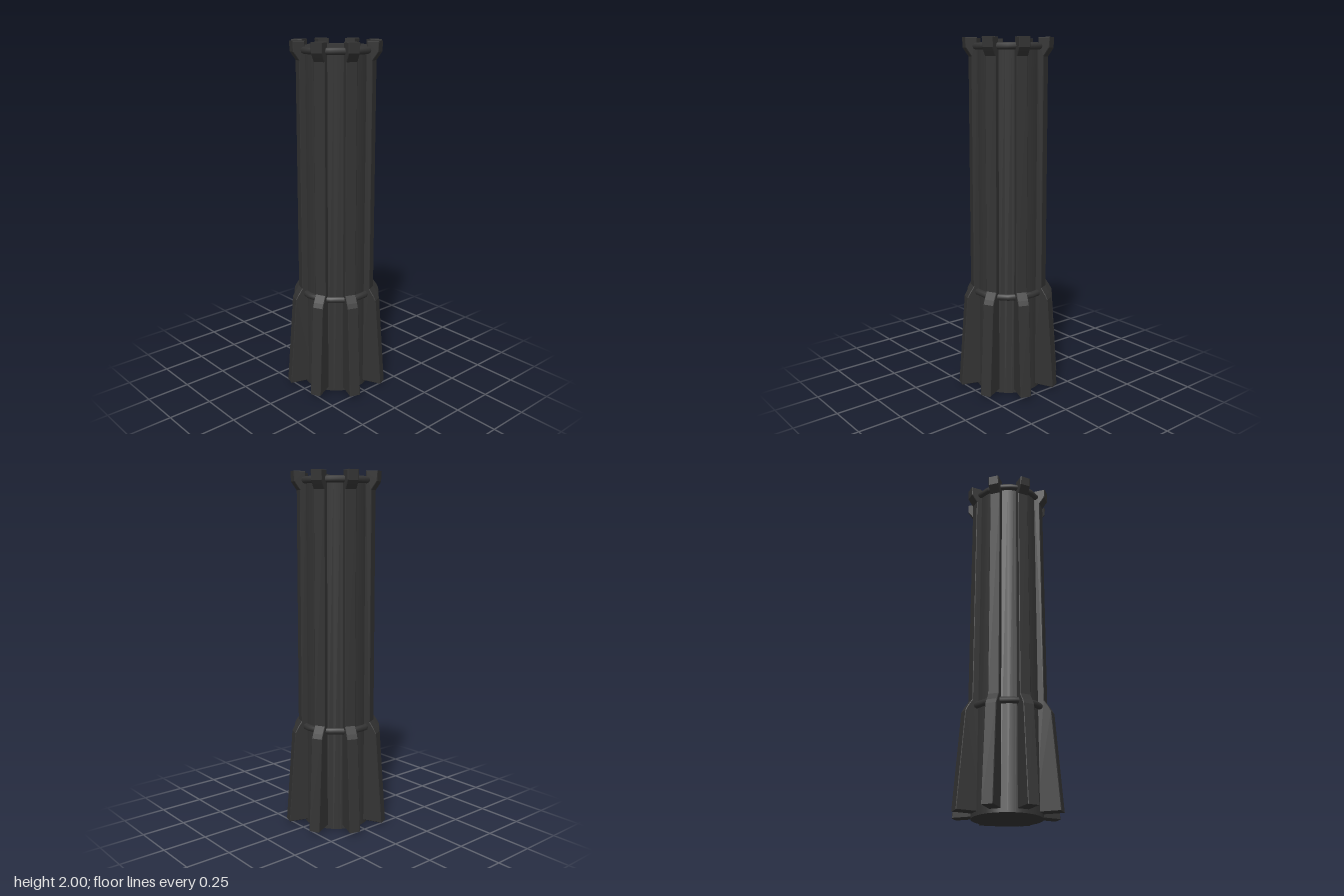
import * as THREE from 'three';

const material = new THREE.MeshStandardMaterial({ color: 0x333333 });

// Rib side outline as (radius, height), extruded to the rib width with a fine bevel
function ribGeometry() {
  const width = 0.063, bevel = 0.003;
  const outline = [
    [0.16, 0.02], [0.299, 0.02], [0.26, 0.55], [0.247, 0.575], [0.221, 0.615],
    [0.22, 1.9], [0.238, 1.925], [0.252, 1.945], [0.255, 2], [0.188, 2],
    [0.188, 1.96], [0.16, 1.96],
  ].map(([r, y]) => new THREE.Vector2(r, y));
  const geometry = new THREE.ExtrudeGeometry(new THREE.Shape(outline), {
    depth: width - 2 * bevel,
    bevelEnabled: true,
    bevelSize: bevel,
    bevelOffset: -bevel,
    bevelThickness: bevel,
    bevelSegments: 1,
  });
  geometry.translate(0, 0, -width / 2 + bevel);
  return geometry;
}

export function createModel() {
  const model = new THREE.Group();
  model.name = 'ribbedColumn';
  const add = (name, geometry) => {
    const mesh = new THREE.Mesh(geometry, material);
    mesh.name = name;
    model.add(mesh);
    return mesh;
  };

  // Round core
  add('core', new THREE.CylinderGeometry(0.19, 0.19, 1.97, 32)).position.y = 0.985;

  // Bands around the core, at the shoulder and near the top
  const bandGeometry = new THREE.TorusGeometry(0.199, 0.019, 8, 18);
  bandGeometry.rotateX(Math.PI / 2);
  add('shoulderBand', bandGeometry).position.y = 0.583;
  add('topBand', bandGeometry).position.y = 1.953;

  // Eight ribs that flare into fins below and end as teeth above
  const rib = ribGeometry();
  for (let i = 0; i < 8; i++) {
    add('rib', rib).rotation.y = -THREE.MathUtils.degToRad(20 + 45 * i);
  }
  return model;
}
